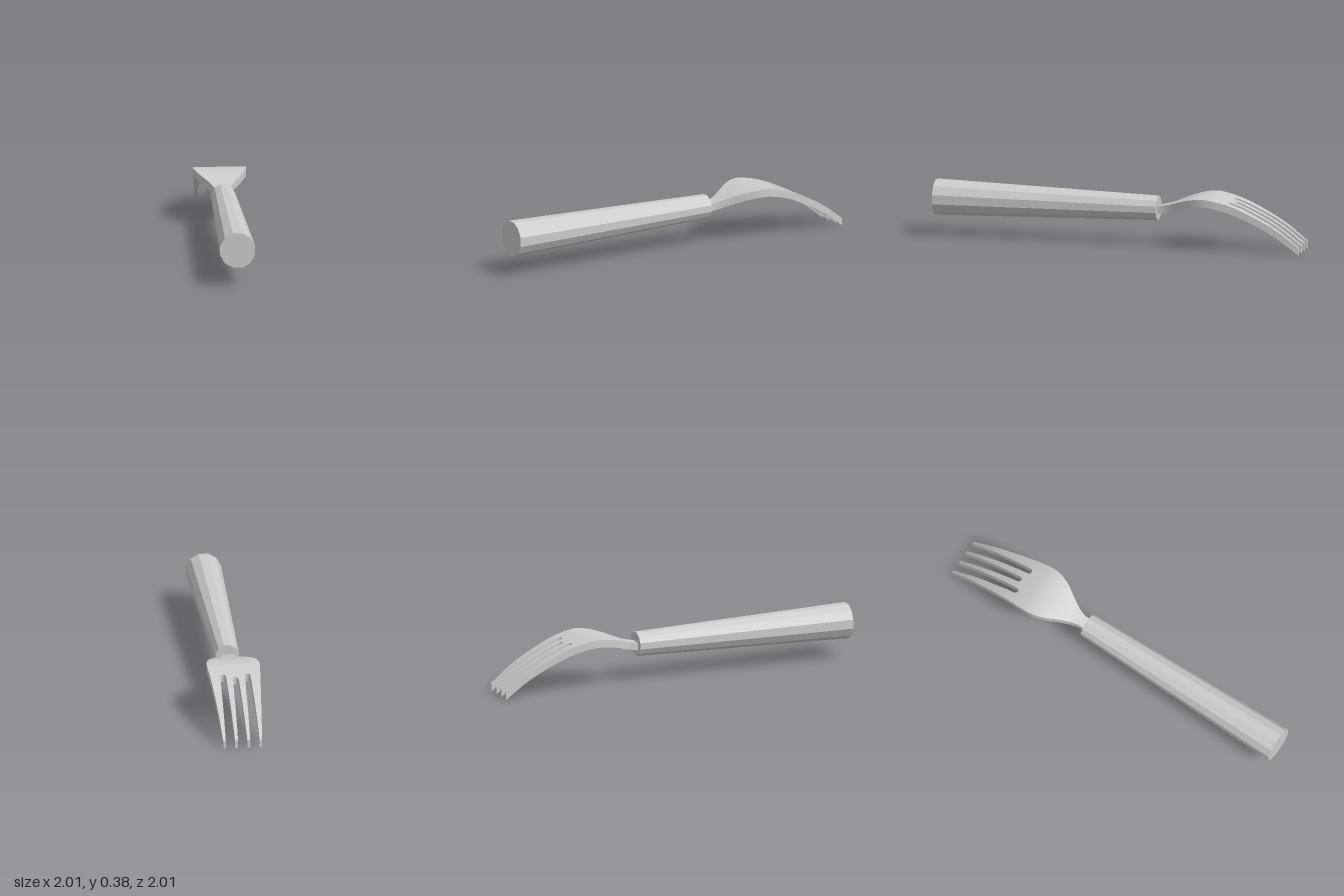
import * as THREE from 'three';
import { toCreasedNormals } from 'three/addons/utils/BufferGeometryUtils.js';

// Smooth function through [s, value] pairs
function smooth(pts) {
  const slope = (i) => {
    const a = pts[Math.max(i - 1, 0)], b = pts[Math.min(i + 1, pts.length - 1)];
    return (b[1] - a[1]) / (b[0] - a[0]);
  };
  return (s) => {
    let i = 0;
    while (i < pts.length - 2 && s > pts[i + 1][0]) i++;
    const [s0, v0] = pts[i], [s1, v1] = pts[i + 1];
    const h = s1 - s0, u = (s - s0) / h, u2 = u * u, u3 = u2 * u;
    return (2 * u3 - 3 * u2 + 1) * v0 + (u3 - 2 * u2 + u) * h * slope(i)
      + (3 * u2 - 2 * u3) * v1 + (u3 - u2) * h * slope(i + 1);
  };
}

const ROOT = 0.785, TIP = 1.294, THICK = 0.053;

// Half width of the head and height of its upper surface, along the length
const halfWidth = smooth([[0.24, 0.04], [0.33, 0.044], [0.42, 0.083], [0.52, 0.143],
  [0.6, 0.174], [0.67, 0.181], [0.79, 0.173], [1.04, 0.153], [TIP, 0.133]]);
const topHeight = smooth([[0.24, 0.265], [0.3, 0.278], [0.37, 0.294], [0.45, 0.323], [0.54, 0.35],
  [0.61, 0.36], [0.68, 0.358], [0.83, 0.32], [0.98, 0.255], [1.135, 0.17], [TIP, 0.053]]);

// Half width of a slot with a rounded root at s0
function slotHalf(s, s0) {
  const d = s - s0;
  if (d <= 0) return 0;
  const w = THREE.MathUtils.lerp(0.019, 0.032, d / (TIP - s0));
  return d < 0.02 ? w * Math.sqrt(1 - (1 - d / 0.02) ** 2) : w;
}

// Bent slab between two side edges, lofted through the stations
function slab(stations, left, right) {
  const rings = stations.map((s) => {
    const y = topHeight(s), l = left(s), r = right(s);
    return [[s, y, l], [s, y, r], [s, y - THICK, r], [s, y - THICK, l]];
  });
  const pos = [];
  const quad = (a, b, c, d) => pos.push(...a, ...b, ...c, ...a, ...c, ...d);
  for (let i = 0; i < rings.length - 1; i++) {
    const p = rings[i], q = rings[i + 1];
    for (let k = 0; k < 4; k++) quad(p[k], p[(k + 1) % 4], q[(k + 1) % 4], q[k]);
  }
  quad(...rings[rings.length - 1]);
  const g = new THREE.BufferGeometry();
  g.setAttribute('position', new THREE.Float32BufferAttribute(pos, 3));
  return toCreasedNormals(g, 0.6);
}

export function createModel() {
  const model = new THREE.Group();
  model.name = 'fork';
  const metal = new THREE.MeshStandardMaterial({ color: 0xcccccc });
  const facet = new THREE.MeshStandardMaterial({ color: 0xcccccc, flatShading: true });
  const add = (geometry, material, name) => {
    const mesh = new THREE.Mesh(geometry, material);
    mesh.name = name;
    model.add(mesh);
    return mesh;
  };

  // Tapered twelve-sided handle with a flat side on top
  const start = -1.294, end = 0.274;
  const handle = new THREE.CylinderGeometry(0.084, 0.124, end - start, 12, 1, false, Math.PI / 12);
  handle.rotateZ(-Math.PI / 2);
  add(handle, facet, 'handle').position.set((start + end) / 2, 0.256, 0);

  // Neck and palm
  const palm = Array.from({ length: 29 }, (_, i) => 0.24 + (ROOT - 0.24) * i / 28);
  add(slab(palm, (s) => -halfWidth(s), halfWidth), metal, 'palm');

  // Four tines, separated by three slots
  const slots = [[-0.084, ROOT], [0, ROOT + 0.03], [0.084, ROOT]];
  const stations = [0, 0.001, 0.004, 0.009, 0.014, 0.02, 0.03, 0.031, 0.034, 0.039, 0.044, 0.05]
    .map((d) => ROOT + d);
  for (let i = 1; i <= 20; i++) stations.push(ROOT + 0.05 + (TIP - ROOT - 0.05) * i / 20);
  for (let i = 0; i < 4; i++) {
    const a = slots[i - 1], b = slots[i];
    const left = a ? (s) => a[0] + slotHalf(s, a[1]) : (s) => -halfWidth(s);
    const right = b ? (s) => b[0] - slotHalf(s, b[1]) : halfWidth;
    add(slab(stations, left, right), metal, 'tine' + (i + 1));
  }

  // Lay the fork along the diagonal
  model.rotation.y = Math.PI / 4;
  const root = new THREE.Group();
  root.add(model);
  return root;
}
